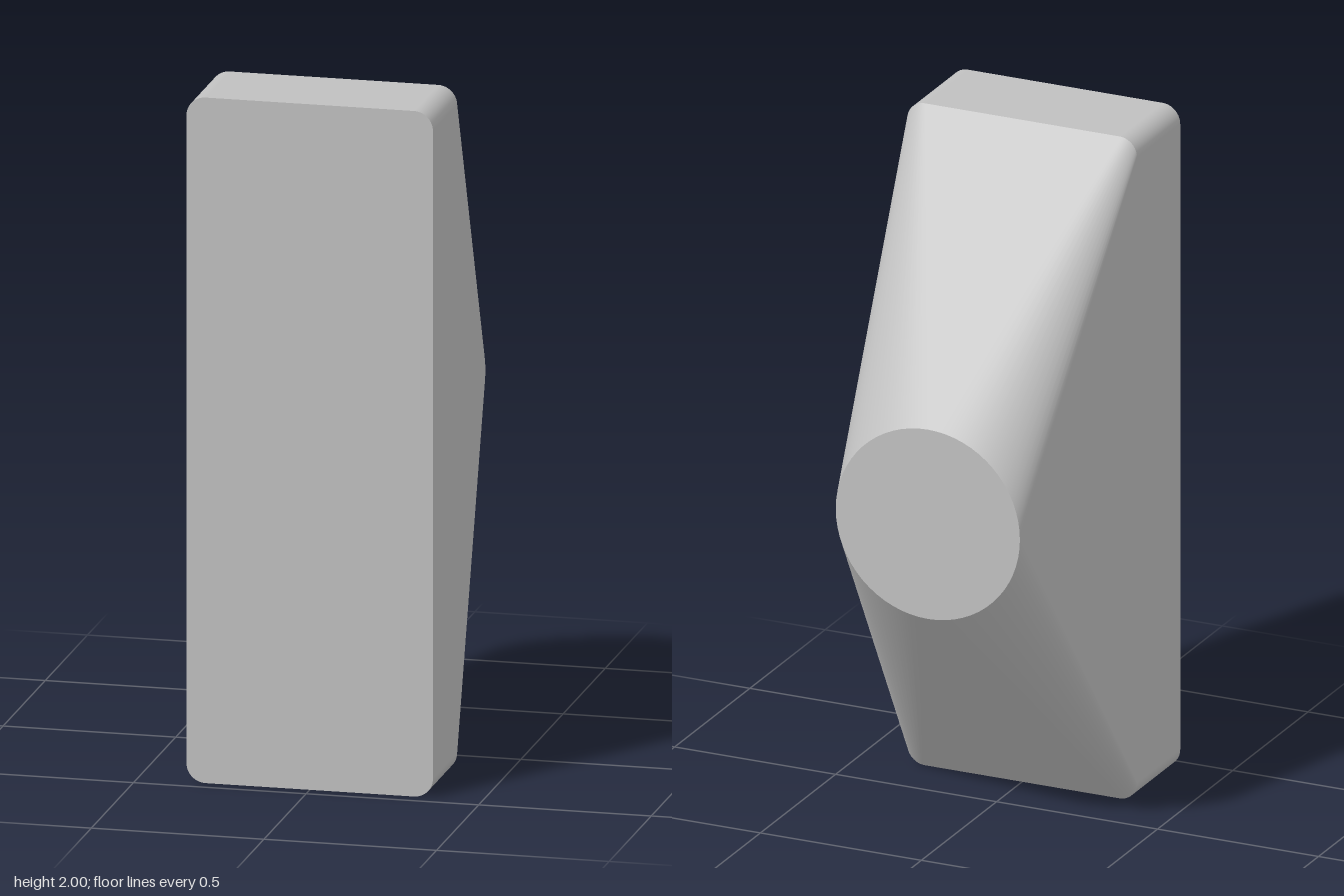
import * as THREE from 'three';

const HALF_W = 0.357, HALF_H = 1, CORNER = 0.055, ROUND = 0.286;
const Z_FRONT = 0.457, Z_STEP = 0.17, Z_BACK = -0.457;
const STEPS = 16; // segments per quarter turn

// Rounded outline: four corner arcs, counter-clockwise seen from +z
function outline(halfW, halfH, radius) {
  const points = [];
  for (let q = 0; q < 4; q++) {
    const sx = q === 0 || q === 3 ? 1 : -1;
    const sy = q < 2 ? 1 : -1;
    for (let i = 0; i <= STEPS; i++) {
      const t = (q + i / STEPS) * Math.PI / 2;
      points.push(new THREE.Vector2(
        sx * (halfW - radius) + radius * Math.cos(t),
        sy * (halfH - radius) + radius * Math.sin(t)));
    }
  }
  return points;
}

// Smooth wall between two outlines, matched by the angle of their normals
function wall(front, zFront, back, zBack) {
  const position = [], normal = [], index = [];
  const count = front.length;
  for (let k = 0; k < count; k++) {
    const f = front[k], b = back[k];
    const t = (Math.floor(k / (STEPS + 1)) + (k % (STEPS + 1)) / STEPS) * Math.PI / 2;
    const c = Math.cos(t), s = Math.sin(t);
    const nz = -((f.x - b.x) * c + (f.y - b.y) * s) / (zFront - zBack);
    const n = new THREE.Vector3(c, s, nz).normalize();
    position.push(f.x, f.y, zFront, b.x, b.y, zBack);
    normal.push(n.x, n.y, n.z, n.x, n.y, n.z);
    const a = 2 * k, j = 2 * ((k + 1) % count);
    index.push(a, a + 1, j, j, a + 1, j + 1);
  }
  const geometry = new THREE.BufferGeometry();
  geometry.setAttribute('position', new THREE.Float32BufferAttribute(position, 3));
  geometry.setAttribute('normal', new THREE.Float32BufferAttribute(normal, 3));
  geometry.setIndex(index);
  return geometry;
}

export function createModel() {
  const group = new THREE.Group();
  group.name = 'taperedAdapter';
  const grey = new THREE.MeshStandardMaterial({ color: 0xc0c0c0 });
  grey.name = 'light grey';

  const add = (name, geometry) => {
    const mesh = new THREE.Mesh(geometry, grey);
    mesh.name = name;
    mesh.position.y = HALF_H;
    group.add(mesh);
    return mesh;
  };

  const plate = outline(HALF_W, HALF_H, CORNER);
  const circle = outline(ROUND, ROUND, ROUND);

  // Straight rounded block, then the taper from rectangle to circle
  add('blockSides', wall(plate, Z_FRONT, plate, Z_STEP));
  add('taper', wall(plate, Z_STEP, circle, Z_BACK));

  // Flat ends
  const front = add('frontFace', new THREE.ShapeGeometry(new THREE.Shape(plate)));
  front.position.z = Z_FRONT;
  const back = add('roundBackFace', new THREE.CircleGeometry(ROUND, STEPS * 4));
  back.position.z = Z_BACK;
  back.rotation.y = Math.PI;

  return group;
}
